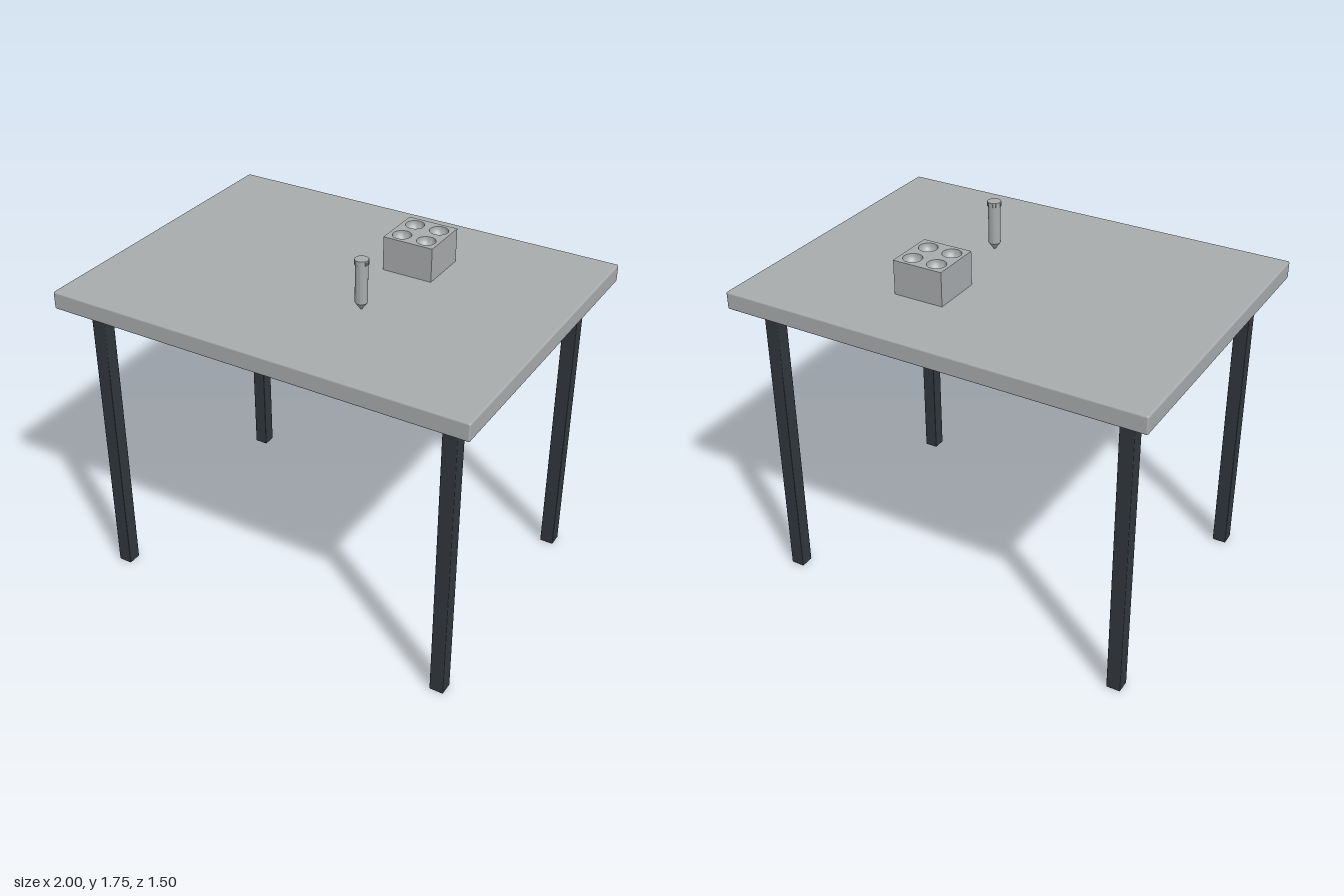
import * as THREE from 'three';
import { RoundedBoxGeometry } from 'three/addons/geometries/RoundedBoxGeometry.js';
import { toCreasedNormals } from 'three/addons/utils/BufferGeometryUtils.js';

const TOP = 1.52;

export function createModel() {
  const grey = new THREE.MeshStandardMaterial({ name: 'lightGrey', color: 0xa8abad });
  const bowlGrey = new THREE.MeshStandardMaterial({ name: 'wellGrey', color: 0xa8abad, side: THREE.DoubleSide });
  const dark = new THREE.MeshStandardMaterial({ name: 'darkSlate', color: 0x31373d });
  const model = new THREE.Group();
  model.name = 'labTable';

  const add = (parent, name, geometry, material, x = 0, y = 0, z = 0) => {
    const mesh = new THREE.Mesh(geometry, material);
    mesh.name = name;
    mesh.position.set(x, y, z);
    parent.add(mesh);
    return mesh;
  };
  const group = (name, x, y, z) => {
    const g = new THREE.Group();
    g.name = name;
    g.position.set(x, y, z);
    model.add(g);
    return g;
  };
  const lathe = (points, segments) => toCreasedNormals(
    new THREE.LatheGeometry(points.map(([r, y]) => new THREE.Vector2(r, y)), segments), 0.5);

  // Table top with softened edges
  add(model, 'tableTop', new RoundedBoxGeometry(2, 0.084, 1.5, 2, 0.009), grey, 0, TOP - 0.042, 0);

  // Four square legs
  for (const x of [-0.865, 0.865]) {
    for (const z of [-0.603, 0.603]) {
      add(model, 'leg', new RoundedBoxGeometry(0.067, 1.44, 0.067, 1, 0.004), dark, x, 0.72, z);
    }
  }

  // Tube rack block with four round wells
  const rack = group('tubeRack', 0.238, TOP, -0.283);
  const w = 0.12, height = 0.16, wellRadius = 0.043, pitch = 0.06;
  const outline = new THREE.Shape([[-w, -w], [w, -w], [w, w], [-w, w]].map(([x, y]) => new THREE.Vector2(x, y)));
  const profile = [];
  for (let i = 0; i <= 8; i++) {
    const a = (i / 8) * Math.PI / 2;
    profile.push([wellRadius * Math.cos(a), height - wellRadius * Math.sin(a)]);
  }
  const well = lathe(profile, 32);
  for (const x of [-pitch, pitch]) {
    for (const z of [-pitch, pitch]) {
      outline.holes.push(new THREE.Path().absarc(x, z, wellRadius, 0, Math.PI * 2, true));
      add(rack, 'well', well, bowlGrey, x, 0, z);
    }
  }
  const block = new THREE.ExtrudeGeometry(outline, { depth: height, bevelEnabled: false, curveSegments: 16 });
  add(rack, 'rackBlock', block.rotateX(-Math.PI / 2), grey);

  // Upright sample tube with a conical tip
  const tube = group('sampleTube', 0.218, TOP, 0.2);
  add(tube, 'tubeBody', lathe([[0, 0], [0.005, 0.002], [0.028, 0.034], [0.028, 0.214]], 32), grey);

  // Ridged screw cap
  add(tube, 'cap', new THREE.CylinderGeometry(0.031, 0.031, 0.022, 32), grey, 0, 0.223, 0);
  for (let i = 0; i < 24; i++) {
    const a = (i / 24) * Math.PI * 2;
    const ridge = add(tube, 'capRidge', new THREE.BoxGeometry(0.003, 0.018, 0.003), grey,
      Math.sin(a) * 0.031, 0.222, Math.cos(a) * 0.031);
    ridge.rotation.y = a;
  }
  return model;
}
